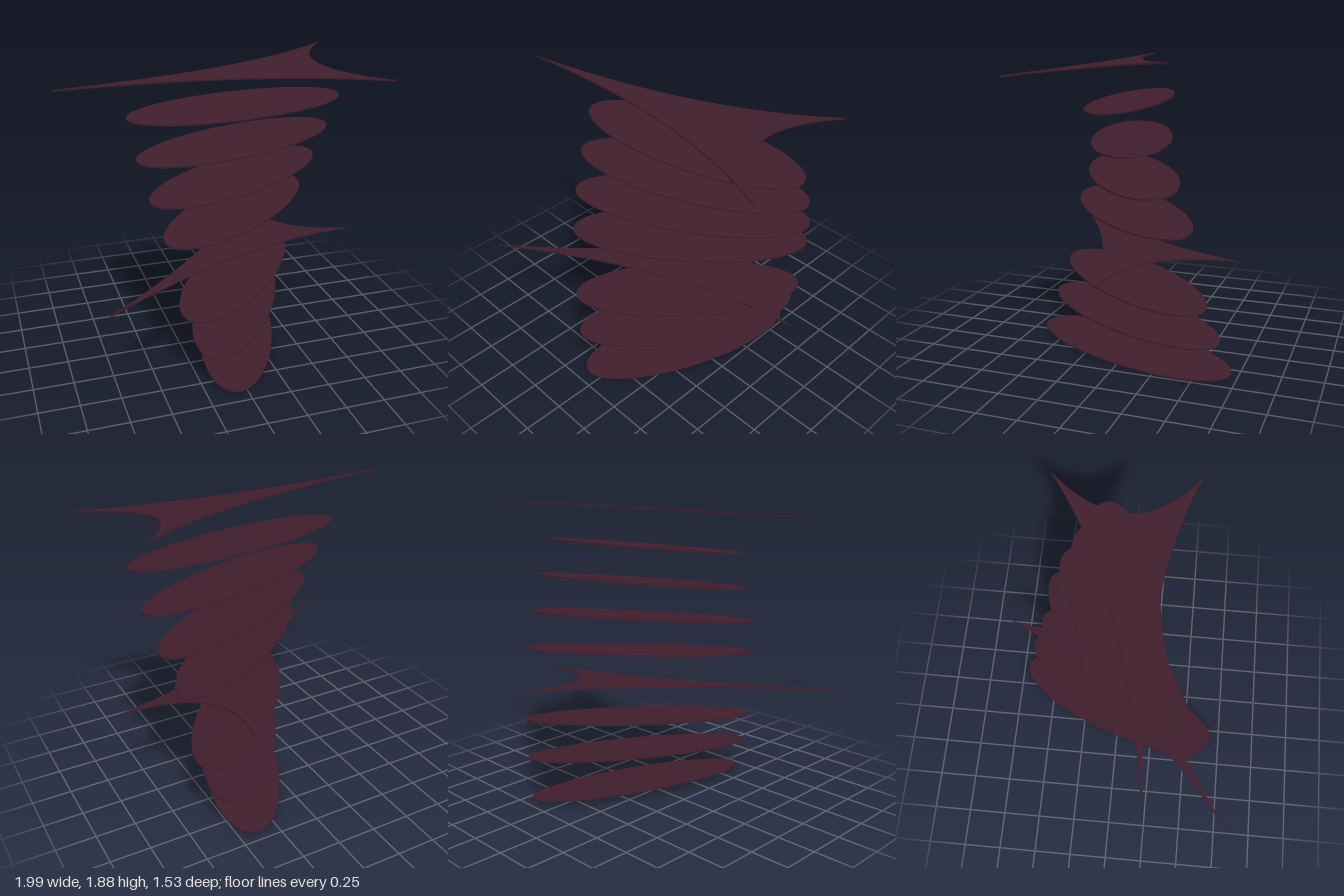
import * as THREE from 'three';

const THICK = 0.01;
const TILT = THREE.MathUtils.degToRad(5);
const BASE_Y = 0.0275, STEP_Y = 0.2264;

// Flat elliptical plate, long axis along x
function ellipsePlate() {
  return new THREE.CylinderGeometry(1, 1, THICK, 96).scale(0.738, 1, 0.247);
}

// Thin three-pointed plate whose sides curve in toward its centre
function spikePlate() {
  const tips = [[-1.3, 0], [0.649, -0.4475], [0.649, 0.4475]].map(p => new THREE.Vector2(...p));
  const shape = new THREE.Shape().moveTo(tips[0].x, tips[0].y);
  tips.forEach((a, i) => {
    const b = tips[(i + 1) % 3];
    const c = a.clone().add(b).multiplyScalar(0.5 * 0.18);
    shape.quadraticCurveTo(c.x, c.y, b.x, b.y);
  });
  return new THREE.ExtrudeGeometry(shape, { depth: THICK, bevelEnabled: false, curveSegments: 32 })
    .translate(0, 0, -THICK / 2)
    .rotateX(-Math.PI / 2);
}

export function createModel() {
  const model = new THREE.Group();
  const material = new THREE.MeshStandardMaterial({ color: 0x401e2c });

  // Places a plate at its level, turned about the vertical and tilted about its long axis
  function addPlate(name, geometry, level, degrees, x, z) {
    const plate = new THREE.Mesh(geometry, material);
    plate.name = name;
    plate.position.set(x, BASE_Y + level * STEP_Y, z);
    plate.rotation.set(TILT, THREE.MathUtils.degToRad(degrees), 0, 'YXZ');
    model.add(plate);
  }

  // Seven ellipses, each turned ten degrees from the one below
  const ellipse = ellipsePlate();
  [0, 1, 2, 4, 5, 6, 7].forEach((level, i) =>
    addPlate(`ellipsePlate${i + 1}`, ellipse, level, 70 - 10 * i, 0.155, -0.014));

  // Two pointed plates: one mid-stack, one on top
  const spike = spikePlate();
  addPlate('middleSpikePlate', spike, 3, 37, 0.182, -0.016);
  addPlate('topSpikePlate', spike, 8, 7, 0.293, 0.052);

  return model;
}
